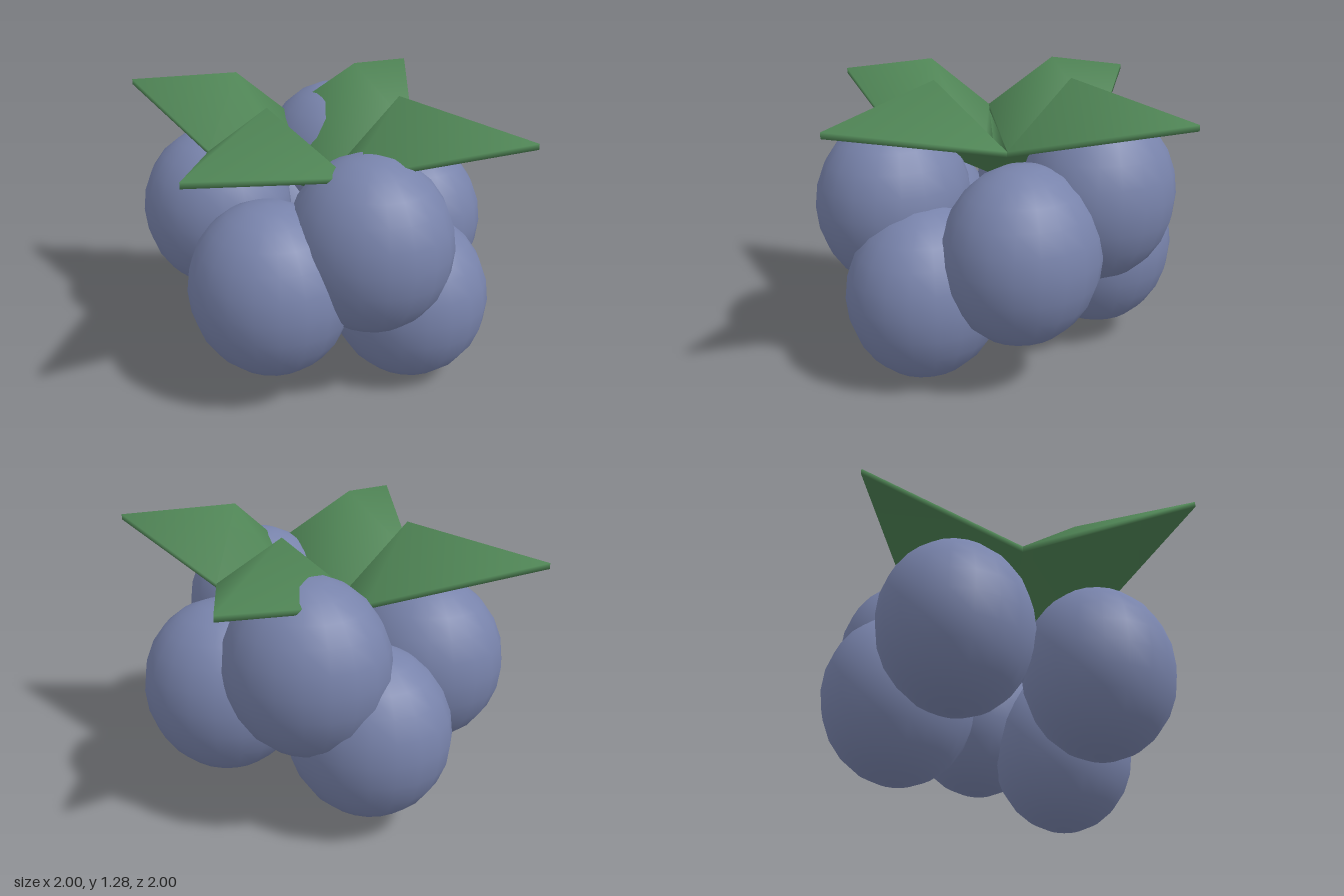
import * as THREE from 'three';

const berryMaterial = new THREE.MeshStandardMaterial({ color: 0x7883ab });
const leafMaterial = new THREE.MeshStandardMaterial({ color: 0x4f8455 });

// Pointed leaf along +z: peaked top, thin rim, nearly flat underside
function leafGeometry() {
  const points = [
    // top: tip, left corner, inner end, right corner, peak
    0, 1.175, 1, 0.335, 1.025, 0.335, 0, 0.875, 0.08, -0.335, 1.025, 0.335, 0, 1.285, 0.4,
    // underside: tip, left corner, inner end, right corner
    0, 1.15, 1, 0.33, 1.0, 0.33, 0, 0.79, 0, -0.33, 1.0, 0.33,
  ];
  const index = [5, 8, 6, 6, 8, 7];
  for (let a = 0; a < 4; a++) {
    const b = (a + 1) % 4;
    index.push(4, a, b); // roof
    index.push(a, a + 5, b, b, a + 5, b + 5); // rim
  }
  const geometry = new THREE.BufferGeometry();
  geometry.setAttribute('position', new THREE.Float32BufferAttribute(points, 3));
  geometry.setIndex(index);
  geometry.computeVertexNormals();
  return geometry;
}

export function createModel() {
  const model = new THREE.Group();
  model.name = 'berryCluster';

  // Cluster of seven overlapping berries
  const berryShape = new THREE.SphereGeometry(1, 20, 12).scale(0.357, 0.385, 0.328);
  const berryCentres = [
    [0.04, 0.52, 0.47],
    [0.475, 0.385, 0],
    [0.4, 0.72, 0.255],
    [-0.47, 0.645, 0.085],
    [-0.355, 0.455, -0.325],
    [-0.13, 0.775, -0.465],
    [0.29, 0.585, -0.38],
  ];
  berryCentres.forEach((centre, i) => {
    const berry = new THREE.Mesh(berryShape, berryMaterial);
    berry.name = `berry${i + 1}`;
    berry.position.set(...centre);
    model.add(berry);
  });

  // Crown of four leaves
  const leafShape = leafGeometry();
  ['frontLeaf', 'leftLeaf', 'backLeaf', 'rightLeaf'].forEach((name, i) => {
    const leaf = new THREE.Mesh(leafShape, leafMaterial);
    leaf.name = name;
    leaf.rotation.y = (i * Math.PI) / 2;
    model.add(leaf);
  });

  return model;
}
